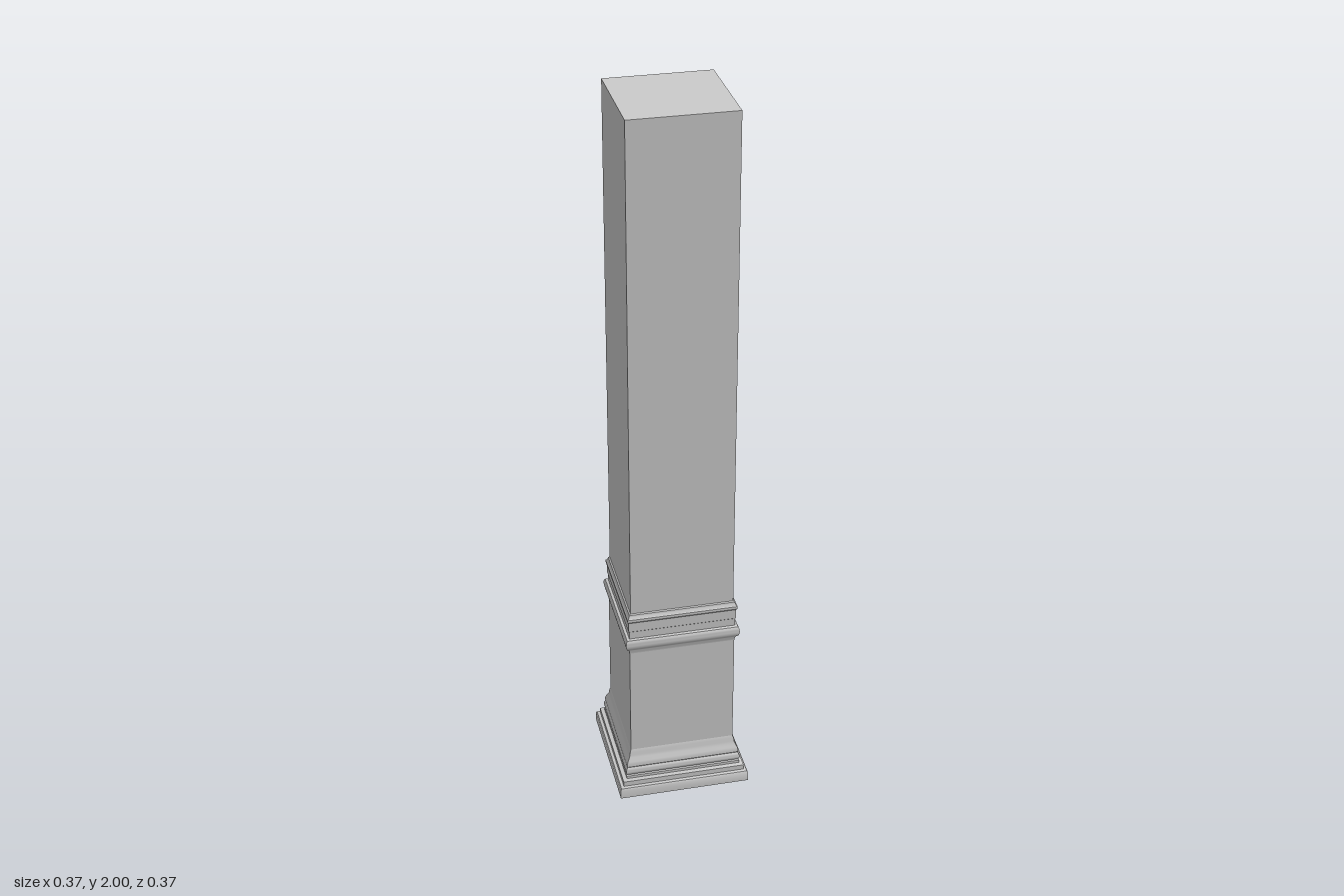
import * as THREE from 'three';
import { toCreasedNormals } from 'three/addons/utils/BufferGeometryUtils.js';

const material = new THREE.MeshStandardMaterial({ color: 0xcccccc });
const openMaterial = new THREE.MeshStandardMaterial({ color: 0xcccccc, side: THREE.DoubleSide });

// Square block from half-width and bottom / top heights
function block(name, half, y0, y1) {
  const mesh = new THREE.Mesh(new THREE.BoxGeometry(half * 2, y1 - y0, half * 2), material);
  mesh.position.y = (y0 + y1) / 2;
  mesh.name = name;
  return mesh;
}

// Moulding with mitred corners: a [half-width, height] profile carried round a square
function moulding(name, draw) {
  const path = new THREE.Path();
  draw(path);
  const points = path.getPoints(6).map(p => new THREE.Vector2(p.x * Math.SQRT2, p.y));
  const geometry = new THREE.LatheGeometry(points, 4);
  geometry.rotateY(Math.PI / 4);
  geometry.deleteAttribute('normal');
  const mesh = new THREE.Mesh(toCreasedNormals(geometry, 0.6), openMaterial);
  mesh.name = name;
  return mesh;
}

export function createModel() {
  const column = new THREE.Group();
  column.name = 'squareColumn';

  column.add(block('shaft', 0.142, 0.55, 2));
  column.add(block('pedestal', 0.146, 0.002, 0.56));

  // Stepped foot, open underneath
  column.add(moulding('baseMoulding', p => {
    p.moveTo(0.184, 0);
    p.lineTo(0.184, 0.026);
    p.lineTo(0.181, 0.031);
    p.lineTo(0.173, 0.033);
    p.lineTo(0.173, 0.048);
    p.lineTo(0.162, 0.05);
    p.lineTo(0.162, 0.058);
    // rounded bead
    p.lineTo(0.158, 0.06);
    p.bezierCurveTo(0.165, 0.064, 0.165, 0.08, 0.158, 0.085);
    // cove sweeping up into the pedestal
    p.lineTo(0.16, 0.088);
    p.bezierCurveTo(0.161, 0.108, 0.149, 0.108, 0.149, 0.13);
    p.lineTo(0.146, 0.138);
  }));

  // Cove and bead at the neck
  column.add(moulding('neckBead', p => {
    p.moveTo(0.146, 0.468);
    p.quadraticCurveTo(0.147, 0.482, 0.153, 0.485);
    p.bezierCurveTo(0.159, 0.49, 0.16, 0.511, 0.154, 0.516);
    p.lineTo(0.147, 0.518);
  }));

  // Upper band with a small flared lip
  column.add(moulding('neckBand', p => {
    p.moveTo(0.147, 0.518);
    p.lineTo(0.147, 0.54);
    p.lineTo(0.149, 0.542);
    p.lineTo(0.149, 0.57);
    p.lineTo(0.152, 0.574);
    p.lineTo(0.152, 0.582);
    p.quadraticCurveTo(0.147, 0.584, 0.146, 0.594);
    p.lineTo(0.142, 0.596);
  }));

  return column;
}
